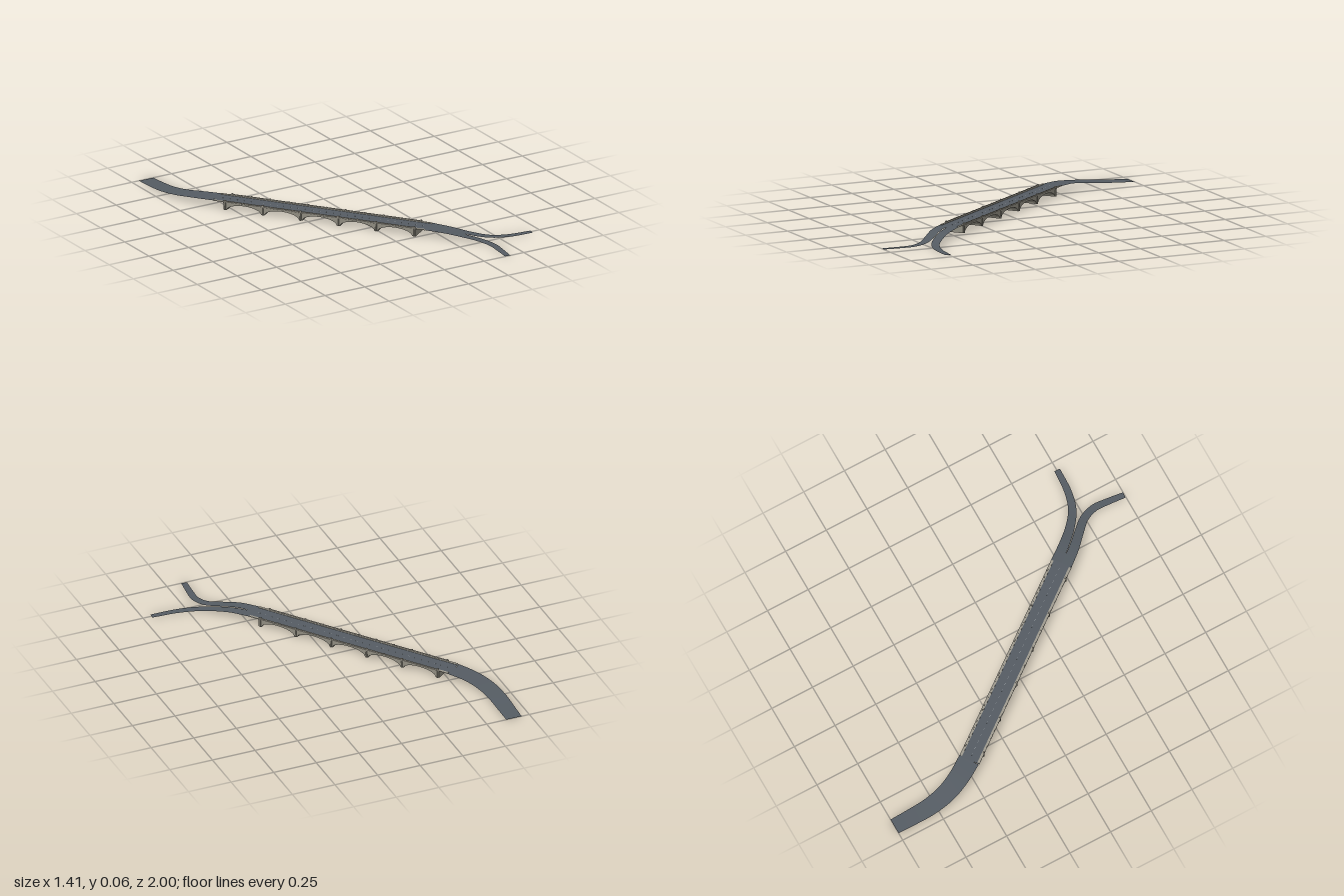
import * as THREE from 'three';

const asphalt = new THREE.MeshStandardMaterial({ color: 0x555c63, side: THREE.DoubleSide });
const stone = new THREE.MeshStandardMaterial({ color: 0x8f8c80 });
const paleStone = new THREE.MeshStandardMaterial({ color: 0xa09c90 });
const paint = new THREE.MeshStandardMaterial({ color: 0x9aa0a4 });

const SPAN = 0.218, ARCHES = 5, PIER = 0.02, LENGTH = SPAN * ARCHES + PIER;
const DECK = 0.046, HALF = 0.054;

function add(parent, name, geometry, material, x = 0, y = 0, z = 0) {
  const mesh = new THREE.Mesh(geometry, material);
  mesh.name = name;
  mesh.position.set(x, y, z);
  parent.add(mesh);
  return mesh;
}

// Flat road strip that follows a curve, its width changing from w0 to w1
function ribbon(points, w0, w1, steps = 28) {
  const curve = new THREE.CatmullRomCurve3(points.map(p => new THREE.Vector3(...p)));
  const pos = [], index = [];
  for (let i = 0; i <= steps; i++) {
    const t = i / steps, p = curve.getPointAt(t), d = curve.getTangentAt(t);
    const half = THREE.MathUtils.lerp(w0, w1, t) / 2;
    const side = new THREE.Vector3(d.z, 0, -d.x).normalize().multiplyScalar(half);
    pos.push(p.x + side.x, p.y, p.z + side.z, p.x - side.x, p.y, p.z - side.z);
    if (i < steps) {
      const a = 2 * i;
      index.push(a, a + 1, a + 2, a + 1, a + 3, a + 2);
    }
  }
  const g = new THREE.BufferGeometry();
  g.setAttribute('position', new THREE.Float32BufferAttribute(pos, 3));
  // wound so the upper side is the front
  for (let i = 0; i < index.length; i += 3) [index[i + 1], index[i + 2]] = [index[i + 2], index[i + 1]];
  g.setIndex(index);
  g.computeVertexNormals();
  const n = g.attributes.normal;
  if (n.getY(0) < 0) {
    g.setIndex(index.reverse());
    g.computeVertexNormals();
  }
  return g;
}

// Wall of arches: side outline extruded across the bridge
function arcadeGeometry() {
  const s = new THREE.Shape();
  const start = -LENGTH / 2, r = (SPAN - PIER) / 2;
  s.moveTo(start, 0);
  for (let i = 0; i < ARCHES; i++) {
    const x = start + PIER + i * SPAN;
    s.lineTo(x, 0);
    s.absellipse(x + r, 0, r, 0.035, Math.PI, 0, true);
  }
  s.lineTo(-start, 0);
  s.lineTo(-start, DECK - 0.002);
  s.lineTo(start, DECK - 0.002);
  const g = new THREE.ExtrudeGeometry(s, { depth: HALF * 2, bevelEnabled: false, curveSegments: 20 });
  return g.rotateY(-Math.PI / 2).translate(HALF, 0, 0);
}

function buildBridge() {
  const bridge = new THREE.Group();
  bridge.name = 'bridge';
  add(bridge, 'arcade', arcadeGeometry(), stone);
  add(bridge, 'bridgeRoad', new THREE.PlaneGeometry(0.117, 1.232).rotateX(-Math.PI / 2), asphalt, 0, DECK, 0);

  const kerb = new THREE.BoxGeometry(0.014, 0.003, 1.22);
  const cornice = new THREE.BoxGeometry(0.004, 0.004, LENGTH);
  const rail = new THREE.BoxGeometry(0.006, 0.0015, LENGTH);
  const baluster = new THREE.BoxGeometry(0.003, 0.004, 0.006);
  const pilaster = new THREE.CylinderGeometry(0.004, 0.005, DECK, 8);
  const post = new THREE.BoxGeometry(0.008, 0.009, 0.009);
  const smallPost = new THREE.BoxGeometry(0.007, 0.007, 0.006);

  for (const side of [-1, 1]) {
    add(bridge, 'kerb', kerb, paleStone, side * 0.052, DECK + 0.0005, 0);
    add(bridge, 'cornice', cornice, stone, side * 0.055, DECK - 0.004, 0);
    add(bridge, 'handrail', rail, paleStone, side * 0.054, 0.0518, 0);
    // Posts and round pilasters over every pier
    for (let i = 0; i <= ARCHES; i++) {
      const z = (i - ARCHES / 2) * SPAN;
      add(bridge, 'pilaster', pilaster, stone, side * HALF, DECK / 2, z);
      add(bridge, 'parapetPost', post, paleStone, side * 0.054, 0.0515, z);
      if (i === ARCHES) continue;
      // Balusters with a smaller post above each crown
      for (let k = 1; k < 12; k++) {
        const zk = z + (k * SPAN) / 12;
        if (k === 6) add(bridge, 'middlePost', smallPost, paleStone, side * 0.054, 0.051, zk);
        else add(bridge, 'baluster', baluster, stone, side * 0.054, 0.0495, zk);
      }
    }
  }

  // Dashed centre line
  const dash = new THREE.BoxGeometry(0.0015, 0.0006, 0.014);
  for (let i = 0; i < 30; i++) add(bridge, 'laneDash', dash, paint, 0, DECK + 0.0002, (i - 14.5) * 0.04);

  bridge.rotation.y = Math.atan2(0.605, 0.796);
  bridge.position.set(-0.165, 0, 0.017);
  return bridge;
}

export function createModel() {
  const model = new THREE.Group();
  model.name = 'archedRoadBridge';
  model.add(buildBridge());

  // Rear approach, curving down to the ground
  add(model, 'rearApproach', ribbon([
    [-0.66, 0, -1], [-0.66, 0.005, -0.9], [-0.657, 0.015, -0.78], [-0.637, 0.028, -0.67],
    [-0.595, 0.04, -0.57], [-0.535, DECK, -0.473],
  ], 0.09, 0.117), asphalt);

  // Front approach forks into two narrow ramps
  add(model, 'rightRamp', ribbon([
    [0.185, DECK, 0.524], [0.25, 0.041, 0.605], [0.325, 0.025, 0.68], [0.385, 0.01, 0.745],
    [0.413, 0.003, 0.82], [0.41, 0.001, 0.9], [0.4, 0, 0.998],
  ], 0.06, 0.033), asphalt);
  add(model, 'leftRamp', ribbon([
    [0.231, DECK, 0.489], [0.3, 0.038, 0.575], [0.375, 0.022, 0.652], [0.46, 0.008, 0.712],
    [0.56, 0.002, 0.742], [0.7, 0, 0.752],
  ], 0.06, 0.033), asphalt);

  return model;
}
